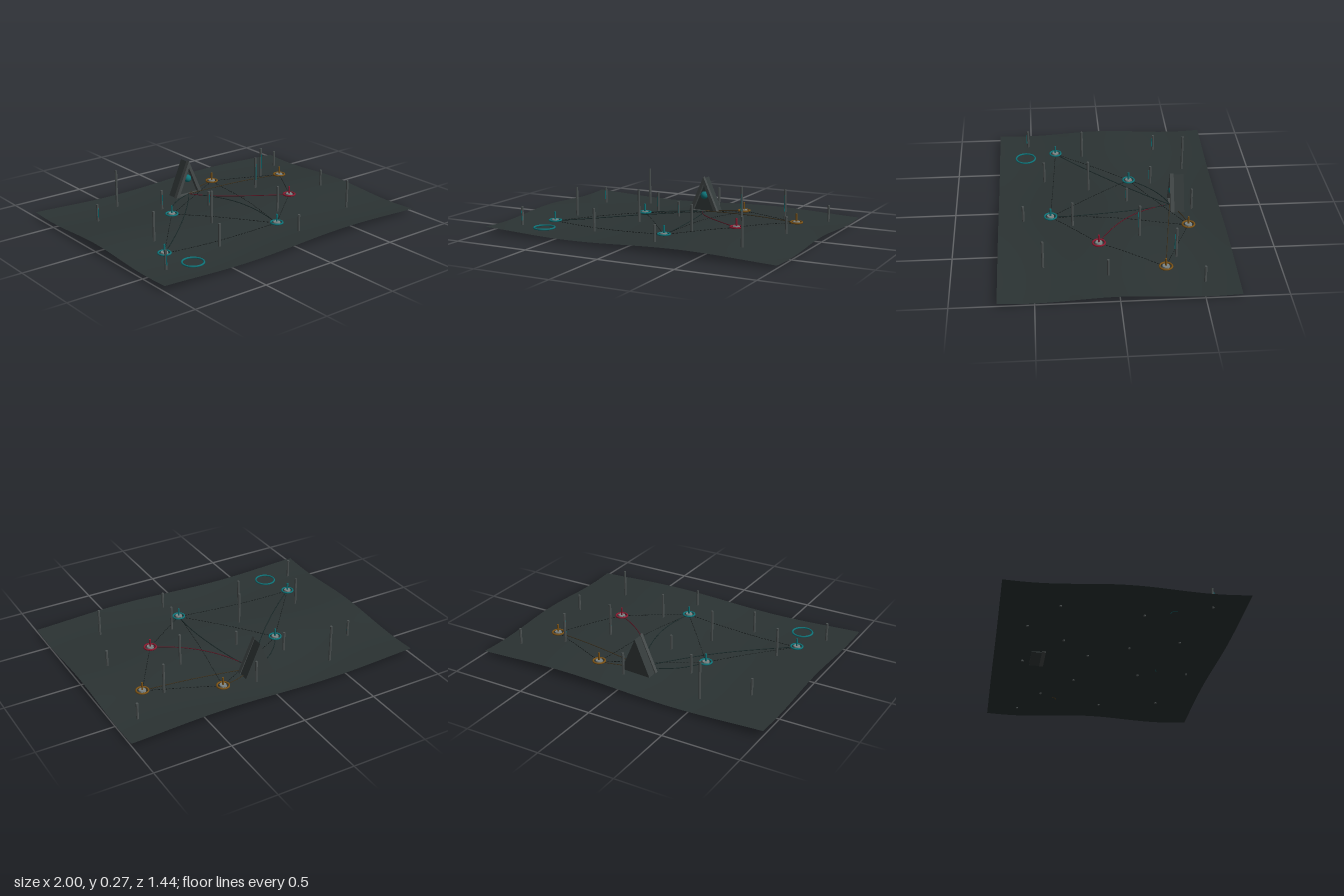
import * as THREE from 'three';
import { mergeGeometries } from 'three/addons/utils/BufferGeometryUtils.js';

const mat = (color, extra = {}) => new THREE.MeshStandardMaterial({ color, ...extra });
const TEAL = 0x0f7378, AMBER = 0x7a5216, RED = 0x8a1a30;

// Height of the rolling ground
const ground = (x, z) => 0.025 + 0.0125 * Math.sin(4 * x) + 0.0115 * Math.cos(6 * z);

export function createModel() {
  const model = new THREE.Group();
  const add = (name, geometry, material, x = 0, y = 0, z = 0, parent = model) => {
    const mesh = new THREE.Mesh(geometry, material);
    mesh.name = name;
    mesh.position.set(x, y, z);
    parent.add(mesh);
    return mesh;
  };

  // Terrain sheet
  const sheet = new THREE.PlaneGeometry(2, 1.44, 64, 48).rotateX(-Math.PI / 2);
  const p = sheet.attributes.position;
  for (let i = 0; i < p.count; i++) p.setY(i, ground(p.getX(i), p.getZ(i)));
  sheet.computeVertexNormals();
  add('terrain', sheet, mat(0x2b3333, { side: THREE.DoubleSide }));

  // Posts: x, z, top height, light strip or not
  const posts = [
    [-0.49, -0.54, 0.255, 0], [-0.75, -0.365, 0.13, 1], [-0.295, -0.3, 0.14, 1],
    [-0.045, -0.12, 0.13, 1], [0.055, -0.535, 0.165, 0], [0.86, -0.515, 0.12, 0],
    [0.61, -0.37, 0.23, 1], [0.39, -0.165, 0.26, 1], [0.235, 0.248, 0.205, 0],
    [0.665, 0.445, 0.205, 0], [-0.375, 0.415, 0.153, 0], [-0.21, 0.125, 0.24, 0],
    [-0.85, 0.52, 0.14, 1], [-0.67, 0.145, 0.22, 0], [0.79, 0.058, 0.146, 0],
    [0.14, 0.56, 0.13, 0],
  ];
  const postMat = mat(0x4c5252, { flatShading: true });
  const tealMat = mat(TEAL);
  for (const [x, z, top, lit] of posts) {
    const base = ground(x, z) - 0.008, h = top - base;
    add('post', new THREE.CylinderGeometry(0.008, 0.008, h, 6), postMat, x, base + h / 2, z);
    if (lit) add('postLight', new THREE.BoxGeometry(0.004, h * 0.5, 0.005), tealMat, x, base + h * 0.55, z + 0.009);
  }

  // Triangular shelter: solid body behind an open front frame
  const shelter = new THREE.Group();
  shelter.name = 'shelter';
  model.add(shelter);
  const triangle = (Type, w, y0, y1) =>
    new Type([[-w, y0], [w, y0], [0, y1]].map(([x, y]) => new THREE.Vector2(x, y)));
  const extrude = (shape, depth) => new THREE.ExtrudeGeometry(shape, { depth, bevelEnabled: false });
  add('shelterBody', extrude(triangle(THREE.Shape, 0.105, 0.004, 0.247), 0.065),
    mat(0x343b3b, { flatShading: true }), 0, 0, -0.485, shelter);
  const frame = triangle(THREE.Shape, 0.112, 0.004, 0.256);
  frame.holes.push(triangle(THREE.Path, 0.078, 0.022, 0.207));
  add('shelterFrame', extrude(frame, 0.025), mat(0x454b4b, { flatShading: true }), 0, 0, -0.42, shelter);
  add('beacon', new THREE.SphereGeometry(0.026, 20, 14), tealMat, 0, 0.128, -0.415, shelter);

  // Stations: ring, disc and pin
  const stations = [
    [0.265, -0.49, AMBER], [0.72, -0.295, AMBER], [0.47, 0.095, RED],
    [0.11, 0.385, TEAL], [-0.725, 0.33, TEAL], [-0.32, -0.155, TEAL],
  ];
  const discMat = mat(0x7c8484);
  for (const [x, z, color] of stations) {
    const station = new THREE.Group();
    station.name = 'station';
    station.position.set(x, ground(x, z), z);
    model.add(station);
    add('stationRing', new THREE.TorusGeometry(0.038, 0.006, 8, 32).rotateX(Math.PI / 2), mat(color), 0, 0.008, 0, station);
    add('stationDisc', new THREE.CylinderGeometry(0.022, 0.024, 0.012, 20), discMat, 0, 0.008, 0, station);
    add('stationPin', new THREE.CylinderGeometry(0.006, 0.006, 0.06, 8), mat(color), 0, 0.034, 0, station);
  }

  // Large landing ring
  add('landingRing', new THREE.TorusGeometry(0.066, 0.006, 8, 48).rotateX(Math.PI / 2), tealMat,
    -0.67, ground(-0.67, 0.54) + 0.015, 0.54);

  // Point on a bowed route draped over the ground
  const route = (a, b, bow, lift) => {
    const mid = [(a[0] + b[0]) / 2 + bow[0], (a[1] + b[1]) / 2 + bow[1]];
    return t => {
      const [x, z] = [0, 1].map(k => (1 - t) ** 2 * a[k] + 2 * t * (1 - t) * mid[k] + t * t * b[k]);
      return new THREE.Vector3(x, ground(x, z) + lift, z);
    };
  };

  // Cables from the shelter door to every station
  const door = [0, -0.4];
  const bows = [[0, -0.03], [0, 0], [-0.13, 0.06], [0.12, -0.02], [0.06, 0.03], [-0.05, -0.07]];
  stations.forEach((s, i) => {
    const at = route(door, s, bows[i], 0.005);
    const curve = new THREE.CatmullRomCurve3(Array.from({ length: 17 }, (_, k) => at(k / 16)));
    const color = s[2] === RED ? 0x5a1826 : s[2] === AMBER ? 0x3a3120 : 0x1b2a2a;
    add('cable', new THREE.TubeGeometry(curve, 40, 0.003, 6), mat(color));
  });

  // Dashed links between stations
  const links = [[0, 1], [1, 2], [2, 3], [3, 4], [4, 5], [5, 0], [0, 3], [5, 3]];
  const linkMat = mat(0x161c1c);
  for (const [i, j] of links) {
    const at = route(stations[i], stations[j], [0, 0], 0.004);
    const count = Math.round(at(0).distanceTo(at(1)) / 0.022);
    const dashes = [];
    for (let k = 0; k < count; k++) {
      const dash = new THREE.LineCurve3(at(k / count), at((k + 0.65) / count));
      dashes.push(new THREE.TubeGeometry(dash, 1, 0.0022, 5));
    }
    add('dashedLink', mergeGeometries(dashes), linkMat);
  }

  return model;
}
